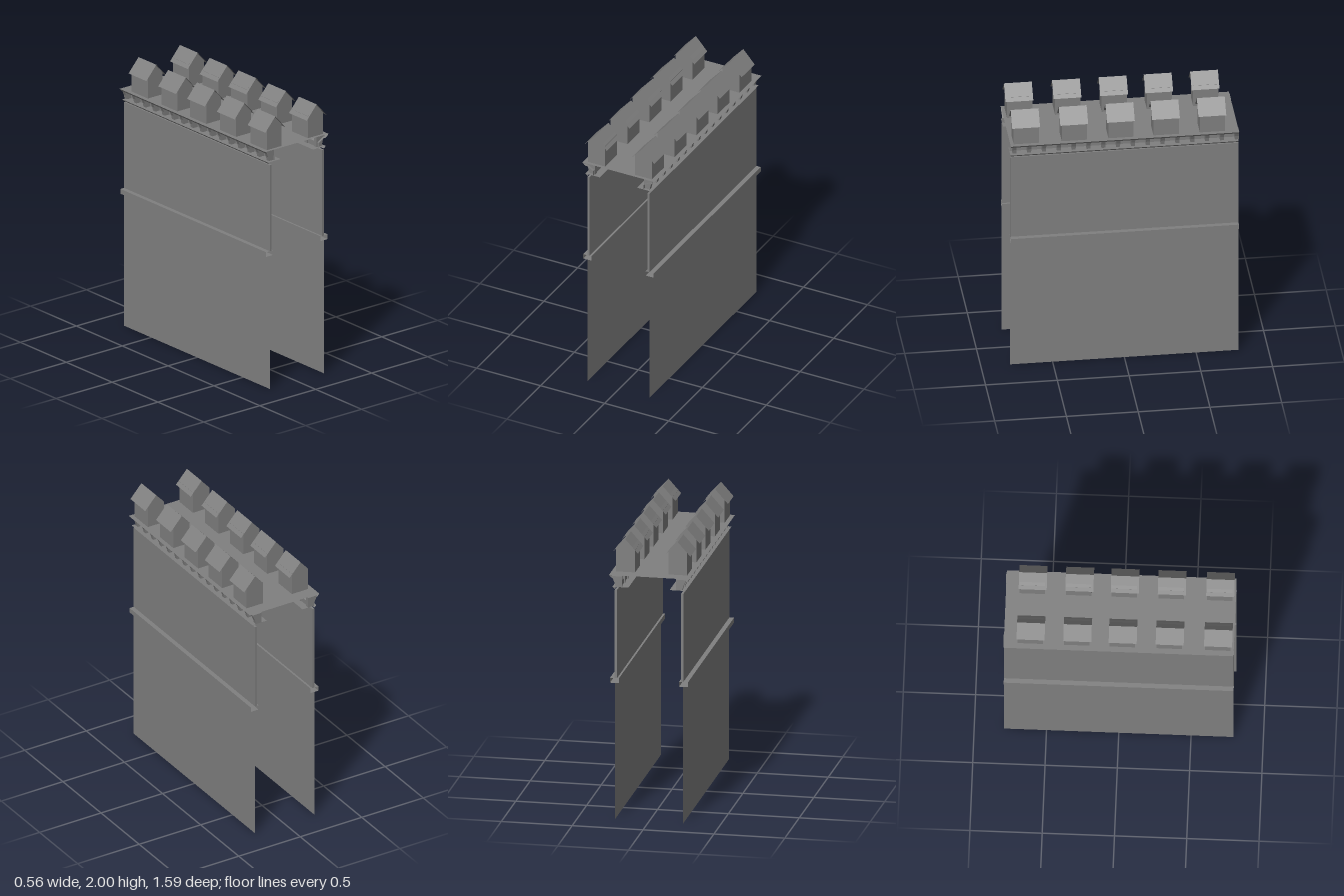
import * as THREE from 'three';

const HALF = 0.795; // half length of the wall along z

const stone = new THREE.MeshStandardMaterial({ color: 0x808080, side: THREE.DoubleSide });
stone.name = 'grey stone';

// Open sheet: sweeps a polyline of [x, y] points straight along z.
function sheet(name, points, z0 = -HALF, z1 = HALF) {
  const pos = [];
  for (let i = 0; i < points.length - 1; i++) {
    const [ax, ay] = points[i];
    const [bx, by] = points[i + 1];
    pos.push(ax, ay, z0, bx, by, z0, bx, by, z1);
    pos.push(ax, ay, z0, bx, by, z1, ax, ay, z1);
  }
  const geo = new THREE.BufferGeometry();
  geo.setAttribute('position', new THREE.Float32BufferAttribute(pos, 3));
  geo.computeVertexNormals();
  return named(name, geo);
}

// Closed prism: extrudes an outline of [x, y] points along z, centred on zc.
function prism(name, points, zc, depth) {
  const shape = new THREE.Shape(points.map(([x, y]) => new THREE.Vector2(x, y)));
  const geo = new THREE.ExtrudeGeometry(shape, { depth, bevelEnabled: false });
  geo.translate(0, 0, zc - depth / 2);
  return named(name, geo);
}

function named(name, geo) {
  const mesh = new THREE.Mesh(geo, stone);
  mesh.name = name;
  return mesh;
}

// One gabled merlon with an overhanging thin roof.
function createMerlon(flip, zc) {
  const merlon = new THREE.Group();
  merlon.name = 'merlon';
  merlon.add(
    prism('merlonBody', flip([
      [0.117, 1.76], [0.25, 1.76], [0.25, 1.925], [0.185, 1.996], [0.117, 1.925],
    ]), zc - 0.004, 0.176),
    sheet('merlonRoof', flip([[0.096, 1.9], [0.185, 2], [0.274, 1.9]]), zc - 0.097, zc + 0.097),
  );
  return merlon;
}

// Everything that belongs to one long face of the wall.
function createSide(side) {
  const flip = (points) => points.map(([x, y]) => [x * side, y]);
  const group = new THREE.Group();
  group.name = side > 0 ? 'leftFace' : 'rightFace';

  // Lower facing sheet, string course and upper wall slab
  group.add(
    sheet('lowerWall', flip([[0.241, 0], [0.241, 0.985]])),
    sheet('stringCourse', flip([
      [0.212, 0.985], [0.275, 0.985], [0.275, 1.02], [0.212, 1.02], [0.212, 0.985],
    ])),
    prism('upperWall', flip([[0.226, 1.02], [0.242, 1.02], [0.242, 1.655], [0.226, 1.655]]), 0, 2 * HALF),
  );

  // Ledge below the corbels, recessed frieze between them, bevelled cornice above
  group.add(
    sheet('ledge', flip([[0.242, 1.662], [0.258, 1.678], [0.145, 1.678]])),
    sheet('frieze', flip([[0.197, 1.68], [0.197, 1.715], [0.25, 1.745]])),
    sheet('cornice', flip([[0.25, 1.738], [0.267, 1.745], [0.282, 1.762]])),
  );

  // Row of corbels
  for (let i = 0; i < 16; i++) {
    group.add(prism('corbel', flip([
      [0.19, 1.68], [0.235, 1.68], [0.242, 1.71], [0.263, 1.756], [0.19, 1.756],
    ]), 0.765 - i * 0.1033, 0.027));
  }

  // Merlons along the parapet
  for (const z of [0.688, 0.353, 0.028, -0.286, -0.609]) group.add(createMerlon(flip, z));
  return group;
}

export function createModel() {
  const model = new THREE.Group();
  model.name = 'battlementWall';
  model.add(createSide(1), createSide(-1));
  // Walkway deck across the top
  model.add(sheet('walkway', [[-0.282, 1.762], [0.282, 1.762]]));
  return model;
}
